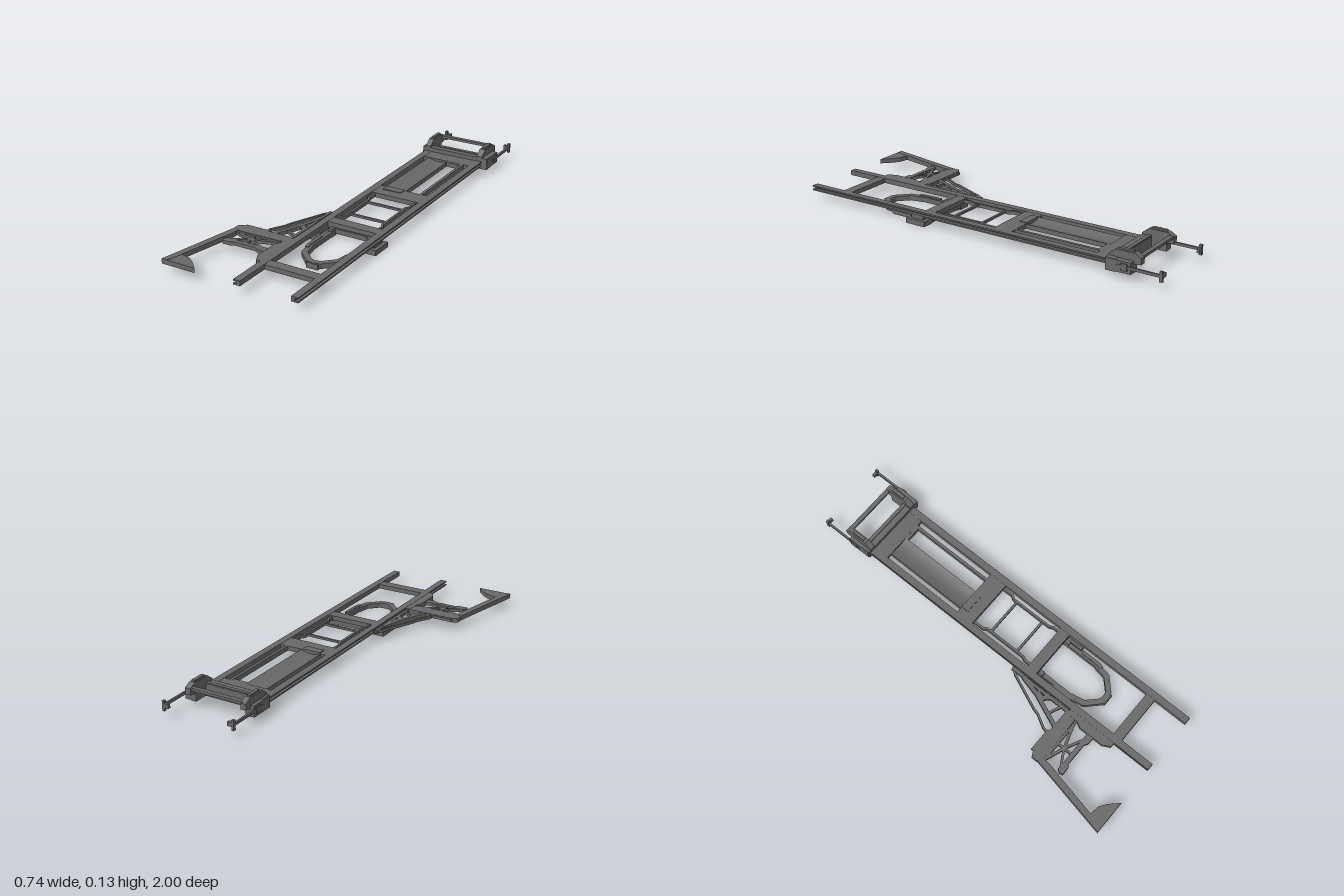
import * as THREE from 'three';

const material = new THREE.MeshStandardMaterial({ color: 0x686868, flatShading: true, side: THREE.DoubleSide });
const LOW = 0.043, TOP = 0.068, MID = 0.17; // frame underside, frame top, frame centreline

export function createModel() {
  const model = new THREE.Group();
  let target = model;

  const group = (name) => {
    target = new THREE.Group();
    target.name = name;
    model.add(target);
  };
  const add = (name, geometry) => {
    const mesh = new THREE.Mesh(geometry, material);
    mesh.name = name;
    target.add(mesh);
    return mesh;
  };
  // Box from its limits on each axis
  const box = (name, x0, x1, y0, y1, z0, z1) =>
    add(name, new THREE.BoxGeometry(x1 - x0, y1 - y0, z1 - z0))
      .position.set((x0 + x1) / 2, (y0 + y1) / 2, (z0 + z1) / 2);
  const toShape = (points) => new THREE.Shape(points.map(([a, b]) => new THREE.Vector2(a, b)));
  // Upright (x, y) section, extruded from z0 to z1
  const section = (name, points, z0, z1) => {
    const g = new THREE.ExtrudeGeometry(toShape(points), { depth: z1 - z0, bevelEnabled: false });
    g.translate(0, 0, z0);
    add(name, g);
  };
  // Horizontal plate with an (x, z) outline
  const plate = (name, points, y0, y1) => {
    const g = new THREE.ExtrudeGeometry(toShape(points), { depth: y1 - y0, bevelEnabled: false });
    g.rotateX(Math.PI / 2);
    g.translate(0, y1, 0);
    add(name, g);
  };
  // Upright (z, y) side profile, extruded from x0 to x1
  const sideProfile = (name, points, x0, x1) => {
    const g = new THREE.ExtrudeGeometry(toShape(points.map(([z, y]) => [-z, y])), { depth: x1 - x0, bevelEnabled: false });
    g.rotateY(Math.PI / 2);
    g.translate(x0, 0, 0);
    add(name, g);
  };
  // Chain of flat bars through (x, z) points
  const bars = (name, points, width, y0, y1) => {
    for (let i = 1; i < points.length; i++) {
      const [ax, az] = points[i - 1], [bx, bz] = points[i];
      const length = Math.hypot(bx - ax, bz - az);
      const mesh = add(name, new THREE.BoxGeometry(width, y1 - y0, length + width * 0.3));
      mesh.position.set((ax + bx) / 2, (y0 + y1) / 2, (az + bz) / 2);
      mesh.rotation.y = Math.atan2(bx - ax, bz - az);
    }
  };
  const mirror = (x) => 2 * MID - x;
  const mirrored = (points) => points.map(([x, z]) => [mirror(x), z]);
  const pair = (name, x0, x1, ...rest) => {
    box(name, x0, x1, ...rest);
    box(name, mirror(x1), mirror(x0), ...rest);
  };

  // Long channel rails, open outward
  group('rails');
  const channel = [[0.007, LOW], [0.042, LOW], [0.042, TOP], [0.007, TOP],
    [0.007, 0.061], [0.024, 0.061], [0.024, 0.05], [0.007, 0.05]];
  section('rail', channel, -0.73, 1);
  section('rail', mirrored(channel), -0.73, 1);

  // Cross members and the rear deck
  group('deck');
  for (const [z0, z1] of [[-0.73, -0.64], [-0.19, -0.095], [0.25, 0.305], [0.77, 0.82]])
    box('crossMember', 0.04, 0.3, LOW + 0.001, TOP - 0.001, z0, z1);
  box('deckStringer', 0.255, 0.27, LOW, TOP - 0.001, -0.64, -0.19);
  box('deckLip', 0.18, 0.27, LOW, TOP - 0.002, -0.64, -0.625);
  const trough = [[0.18, LOW], [0.18, 0.066]];
  for (let i = 1; i < 8; i++) trough.push([0.18 - 0.014 * i, 0.066 - 0.012 * Math.sin((i / 8) * Math.PI)]);
  trough.push([0.068, 0.066], [0.068, LOW]);
  section('trough', trough, -0.64, -0.19);
  box('troughEnd', 0.075, 0.172, TOP - 0.002, 0.071, -0.19, -0.15);

  // Ladder between the middle cross members
  group('ladder');
  const side = [[0.058, -0.1], [0.058, -0.04], [0.07, -0.02], [0.07, 0.2], [0.06, 0.22], [0.06, 0.26]];
  bars('ladderSide', side, 0.012, 0.046, 0.063);
  bars('ladderSide', mirrored(side), 0.012, 0.046, 0.063);
  for (const z of [0, 0.16]) box('rung', 0.068, mirror(0.068), 0.05, 0.061, z - 0.006, z + 0.006);

  // Faceted hoop slung below the frame
  group('hoop');
  const straight = [[0.07, 0.3], [0.07, 0.5]];
  const arc = [[0.07, 0.5], [0.082, 0.565], [0.14, 0.622], [MID, 0.628]];
  const clamp = [[0.06, 0.4], [0.06, 0.5], [0.066, 0.52]];
  for (const map of [(points) => points, mirrored]) {
    bars('hoopSide', map(straight), 0.02, 0.007, 0.032);
    bars('hoopArc', map(arc), 0.027, 0.007, 0.032);
    bars('hoopClamp', map(clamp), 0.018, 0.003, 0.036);
  }
  pair('hoopHanger', 0.058, 0.08, 0.005, 0.045, 0.28, 0.33);
  box('hoopFoot', 0.14, 0.2, 0.003, 0.03, 0.615, 0.645);
  box('hoopCrossBar', 0.06, 0.28, 0.012, 0.036, 0.275, 0.3);
  pair('supportBlock', -0.005, 0.055, 0.001, 0.027, 0.28, 0.39);
  pair('supportPost', 0.012, 0.04, 0.025, 0.045, 0.3, 0.37);

  // Rear head with two cheeks, cross bars and hooked arms
  group('rearHead');
  box('headBeamBottom', -0.002, 0.362, 0.028, 0.045, -0.77, -0.72);
  box('headBeamTop', -0.002, 0.362, 0.067, 0.088, -0.77, -0.72);
  box('headBeamEnd', -0.002, 0.04, 0.045, 0.067, -0.77, -0.72);
  box('headBeamEnd', 0.3, 0.362, 0.045, 0.067, -0.77, -0.72);
  box('headBeamWeb', 0.04, 0.3, 0.045, 0.067, -0.77, -0.73);
  const cheek = [[-0.72, 0.03], [-0.72, 0.095], [-0.755, 0.122], [-0.85, 0.122],
    [-0.88, 0.105], [-0.88, 0.075], [-0.845, 0.07], [-0.845, 0.03]];
  for (const [a, b] of [[0.01, 0.038], [0.305, 0.335]]) {
    sideProfile('cheek', cheek, a, b);
    box('cheekCap', a + 0.006, b - 0.006, 0.12, 0.13, -0.84, -0.77);
  }
  for (const [a, b] of [[-0.008, 0.014], [0.33, 0.364]])
    box('cheekHousing', a, b, 0.032, 0.086, -0.845, -0.725);
  box('rearCrossBar', 0.03, 0.31, 0.097, 0.11, -0.877, -0.855);
  box('frontCrossBar', 0.03, 0.31, 0.085, 0.093, -0.768, -0.75);
  for (const [x, s] of [[-0.005, 1], [0.363, -1]]) {
    box('armBar', x - 0.005, x + 0.005, 0.055, 0.068, -0.99, -0.78);
    box('armTip', x - 0.006, x + 0.006, 0.035, 0.084, -1, -0.985);
    const end = x + s * 0.028;
    box('armHook', Math.min(x, end), Math.max(x, end), 0.052, 0.072, -1, -0.986);
    box('armBoss', x - 0.008, x + 0.008, 0.045, 0.078, -0.83, -0.8);
  }

  // Side outrigger: mounting bracket, truss, long arm and foot
  group('outrigger');
  plate('mountBracket', [[0.01, 0.54], [-0.02, 0.54], [-0.02, 0.6], [-0.036, 0.63],
    [-0.036, 0.76], [-0.015, 0.8], [0.01, 0.8]], 0.043, 0.067);
  plate('mainBeam', [[0, 0.53], [-0.26, 0.53], [-0.29, 0.545], [-0.29, 0.575],
    [-0.275, 0.595], [-0.03, 0.59], [0, 0.58]], 0.045, 0.066);
  bars('longStay', [[0, 0.2], [-0.025, 0.23], [-0.1, 0.405], [-0.108, 0.435], [-0.145, 0.5], [-0.15, 0.53]], 0.011, 0.049, 0.063);
  bars('diagonalStay', [[-0.01, 0.27], [-0.035, 0.37], [-0.107, 0.54]], 0.02, 0.046, 0.065);
  bars('innerStay', [[-0.008, 0.2], [-0.008, 0.54]], 0.014, 0.046, 0.064);
  bars('stayLink', [[-0.01, 0.36], [-0.03, 0.39], [-0.06, 0.43]], 0.013, 0.049, 0.063);
  bars('stayLink', [[-0.008, 0.43], [-0.035, 0.4]], 0.022, 0.048, 0.064);
  bars('stayLink', [[-0.008, 0.5], [-0.075, 0.47]], 0.012, 0.049, 0.063);
  bars('endLug', [[-0.26, 0.525], [-0.14, 0.525]], 0.012, 0.05, 0.064);
  plate('trussChord', [[-0.03, 0.675], [-0.255, 0.675], [-0.268, 0.692], [-0.262, 0.71],
    [-0.22, 0.708], [-0.2, 0.698], [-0.09, 0.698], [-0.07, 0.71], [-0.03, 0.71]], 0.046, 0.064);
  bars('trussStrut', [[-0.255, 0.6], [-0.16, 0.635], [-0.05, 0.6]], 0.014, 0.048, 0.063);
  bars('trussStrut', [[-0.25, 0.685], [-0.16, 0.635], [-0.06, 0.685]], 0.012, 0.048, 0.063);
  bars('trussPost', [[-0.16, 0.59], [-0.16, 0.685]], 0.012, 0.048, 0.063);
  bars('trussChordUpper', [[-0.275, 0.598], [-0.03, 0.598]], 0.012, 0.048, 0.064);
  plate('longArm', [[-0.288, 0.58], [-0.262, 0.59], [-0.262, 0.63], [-0.278, 0.7],
    [-0.335, 0.97], [-0.345, 1], [-0.373, 1]], 0.043, 0.067);
  plate('foot', [[-0.373, 1], [-0.195, 1], [-0.24, 0.955], [-0.275, 0.93], [-0.33, 0.92], [-0.356, 0.92]], 0.043, 0.066);
  return model;
}
